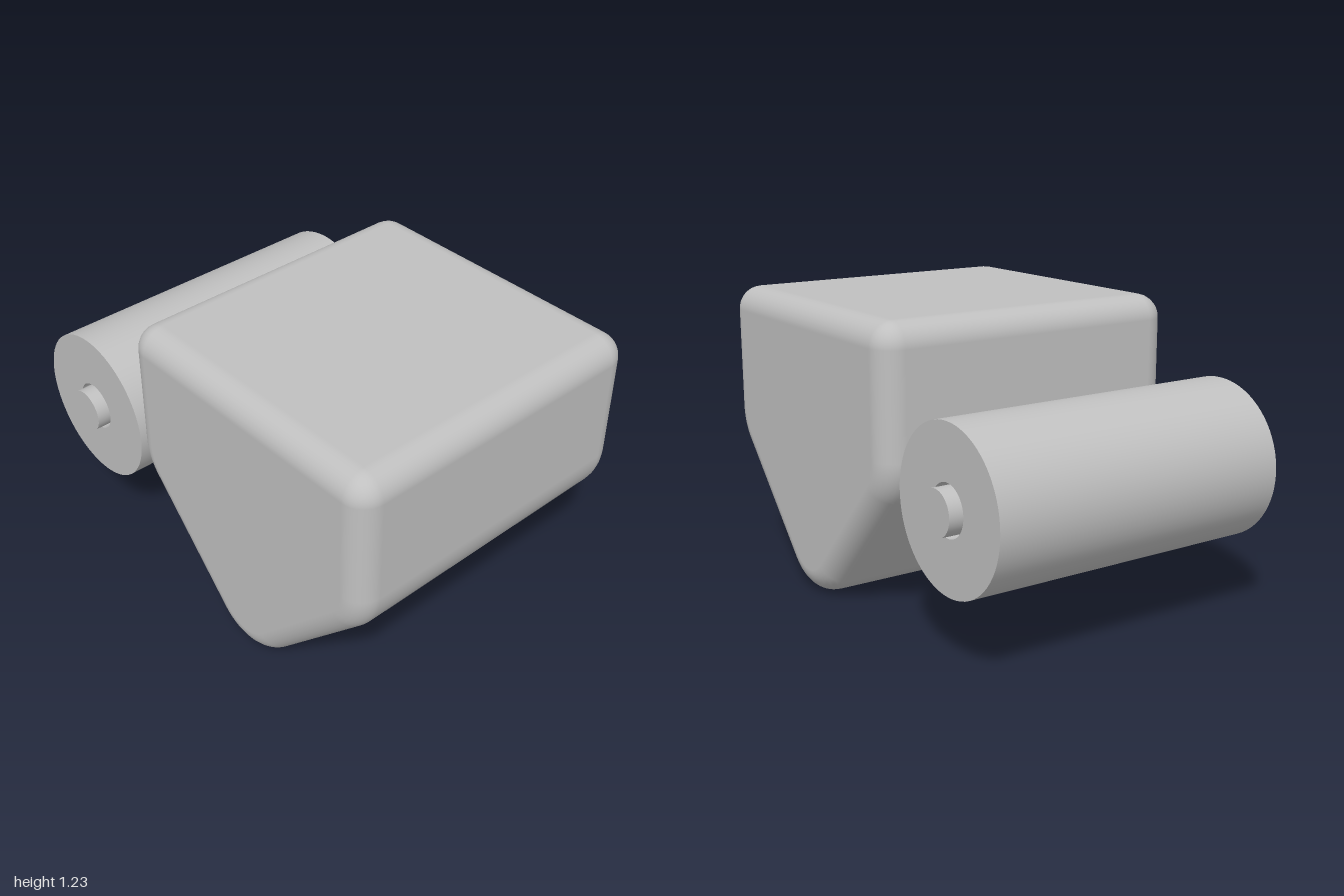
import * as THREE from 'three';

const grey = new THREE.MeshStandardMaterial({ color: 0xc0c0c0, side: THREE.DoubleSide });
grey.name = 'plain grey';

const CX = 0.345, HALF_W = 0.655, TOP = 1.225, DEPTH = 0.69, FILLET = 0.1;
const TILT = 43 * Math.PI / 180;            // angle of the slope normals below horizontal
const TIP_R = 0.236, HIP_R = 0.26, HIP_Y = 0.694;
const BORE_R = 0.09, BORE_Y = 0.182;

// half width of the sloping flank at height y
const flankLow = TIP_R * (1 - Math.sin(TILT));
const flankHigh = HIP_Y - HIP_R * Math.sin(TILT);
const halfLow = TIP_R * Math.cos(TILT);
const halfHigh = HALF_W - HIP_R + HIP_R * Math.cos(TILT);
const flankX = y => halfLow + (y - flankLow) * (halfHigh - halfLow) / (flankHigh - flankLow);

// corner arcs, anticlockwise: centre x, centre y, radius, start, end
const PI = Math.PI;
const arcs = [
  [HALF_W - FILLET, TOP - FILLET, FILLET, 0, PI / 2],
  [FILLET - HALF_W, TOP - FILLET, FILLET, PI / 2, PI],
  [HIP_R - HALF_W, HIP_Y, HIP_R, PI, PI + TILT],
  [0, TIP_R, TIP_R, PI + TILT, 2 * PI - TILT],
  [HALF_W - HIP_R, HIP_Y, HIP_R, 2 * PI - TILT, 2 * PI],
];
const ARC_STEPS = 12;

// rounded shell with flat ends, leaving the two flanks open
function shellGeometry() {
  const pos = [], nor = [], idx = [];
  const count = arcs.length * (ARC_STEPS + 1);
  const rings = [];
  for (const side of [-1, 1])
    for (let i = 0; i <= 8; i++) rings.push([side, (side < 0 ? i - 8 : i) / 8 * PI / 2]);

  for (const [side, a] of rings) {
    const inset = FILLET * (1 - Math.cos(a));
    const z = side * (DEPTH - FILLET) + FILLET * Math.sin(a);
    for (const [cx, cy, r, from, to] of arcs)
      for (let k = 0; k <= ARC_STEPS; k++) {
        const t = from + (to - from) * k / ARC_STEPS;
        const c = Math.cos(t), s = Math.sin(t);
        pos.push(CX + cx + (r - inset) * c, cy + (r - inset) * s, z);
        nor.push(c * Math.cos(a), s * Math.cos(a), Math.sin(a));
      }
  }
  const flanks = [3 * (ARC_STEPS + 1) - 1, 4 * (ARC_STEPS + 1) - 1];
  for (let i = 0; i < rings.length - 1; i++)
    for (let j = 0; j < count; j++) {
      if (i === 8 && flanks.includes(j)) continue;
      const a = i * count + j, b = i * count + (j + 1) % count;
      idx.push(a, b, b + count, a, b + count, a + count);
    }
  // flat front and back as fans
  for (const side of [-1, 1]) {
    const ring = side < 0 ? 0 : (rings.length - 1) * count;
    const mid = pos.length / 3;
    pos.push(CX, 0.75, side * DEPTH);
    nor.push(0, 0, side);
    for (let j = 0; j < count; j++) {
      const a = ring + j, b = ring + (j + 1) % count;
      if (side > 0) idx.push(mid, a, b); else idx.push(mid, b, a);
    }
  }
  const g = new THREE.BufferGeometry();
  g.setAttribute('position', new THREE.Float32BufferAttribute(pos, 3));
  g.setAttribute('normal', new THREE.Float32BufferAttribute(nor, 3));
  g.setIndex(idx);
  return g;
}

// sloping flank pierced by the bore
function flankGeometry(side) {
  const w = DEPTH - FILLET;
  const shape = new THREE.Shape();
  shape.moveTo(-w, flankLow);
  shape.lineTo(w, flankLow);
  shape.lineTo(w, flankHigh);
  shape.lineTo(-w, flankHigh);
  const hole = new THREE.Path();
  hole.absarc(0, BORE_Y, BORE_R, 0, 2 * PI, true);
  shape.holes.push(hole);
  const g = new THREE.ShapeGeometry(shape, 24);
  const p = g.attributes.position;
  for (let i = 0; i < p.count; i++) {
    const u = p.getX(i), y = p.getY(i);
    p.setXYZ(i, CX + side * flankX(y), y, -side * u);
  }
  g.computeVertexNormals();
  return g;
}

// bore wall, its ends trimmed to the flanks
function boreGeometry() {
  const g = new THREE.CylinderGeometry(BORE_R, BORE_R, 2, 48, 1, true);
  g.rotateZ(PI / 2);
  const p = g.attributes.position;
  for (let i = 0; i < p.count; i++) {
    const y = p.getY(i) + BORE_Y;
    p.setXYZ(i, CX + Math.sign(p.getX(i)) * flankX(y), y, p.getZ(i));
  }
  return g;
}

function add(parent, name, geometry) {
  const mesh = new THREE.Mesh(geometry, grey);
  mesh.name = name;
  parent.add(mesh);
  return mesh;
}

const tube = (r, length, open) =>
  new THREE.CylinderGeometry(r, r, length, 72, 1, open).rotateX(PI / 2);

export function createModel() {
  const model = new THREE.Group();
  model.name = 'model';

  // wedge-bottomed block
  const block = new THREE.Group();
  block.name = 'block';
  add(block, 'blockShell', shellGeometry());
  add(block, 'leftFlank', flankGeometry(1));
  add(block, 'rightFlank', flankGeometry(-1));
  add(block, 'crossBore', boreGeometry());
  model.add(block);

  // hollow roller with a loose pin through it
  const roller = new THREE.Group();
  roller.name = 'roller';
  roller.position.set(-0.675, 0.615, 0);
  add(roller, 'rollerWall', tube(0.325, 1.3, true));
  add(roller, 'rollerBore', tube(0.103, 1.3, true));
  for (const side of [1, -1]) {
    const end = add(roller, side > 0 ? 'rollerFront' : 'rollerBack', new THREE.RingGeometry(0.103, 0.325, 72));
    end.position.z = side * 0.65;
    if (side < 0) end.rotation.y = PI;
  }
  add(roller, 'pin', tube(0.09, 1.4, false));
  model.add(roller);

  return model;
}
